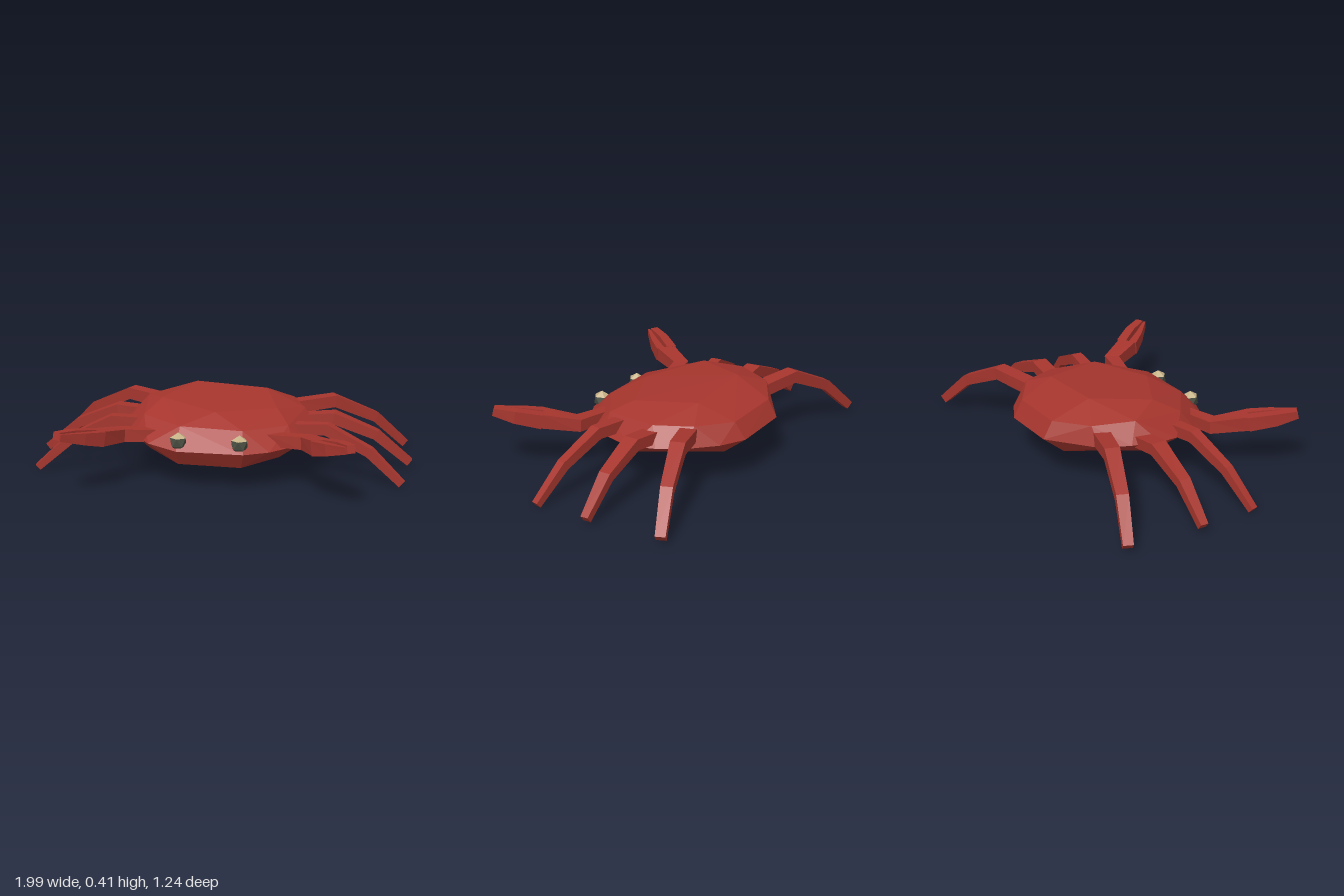
import * as THREE from 'three';
import { ConvexGeometry } from 'three/addons/geometries/ConvexGeometry.js';

const shellRed = new THREE.MeshStandardMaterial({ color: 0xa5352d });
shellRed.name = 'shellRed';
const eyeTan = new THREE.MeshStandardMaterial({ color: 0xc6b287 });
eyeTan.name = 'eyeTan';
const eyeDark = new THREE.MeshStandardMaterial({ color: 0x4a4e41 });
eyeDark.name = 'eyeDark';

// Four-sided limb lofted along a path; each point is [x, y, z, width, height]
function limb(name, points, side) {
  const path = points.map(([x, y, z]) => new THREE.Vector3(x * side, y, z));
  const up = new THREE.Vector3(0, 1, 0);
  const positions = [];
  path.forEach((p, i) => {
    const before = p.clone().sub(path[Math.max(i - 1, 0)]).normalize();
    const after = path[Math.min(i + 1, path.length - 1)].clone().sub(p).normalize();
    const t = before.add(after).normalize();
    const across = t.clone().cross(up).normalize();
    const lift = across.clone().cross(t);
    const [, , , w, h] = points[i];
    for (const [a, b] of [[1, 1], [1, -1], [-1, -1], [-1, 1]]) {
      const v = p.clone().addScaledVector(across, a * w / 2).addScaledVector(lift, b * h / 2);
      positions.push(v.x, v.y, v.z);
    }
  });
  const index = [];
  const quad = (a, b, c, d) => index.push(a, b, c, a, c, d);
  for (let i = 0; i < path.length - 1; i++) {
    for (let k = 0; k < 4; k++) {
      const a = i * 4 + k, b = i * 4 + (k + 1) % 4;
      quad(a, b, b + 4, a + 4);
    }
  }
  const e = (path.length - 1) * 4;
  quad(3, 2, 1, 0);
  quad(e, e + 1, e + 2, e + 3);
  const indexed = new THREE.BufferGeometry();
  indexed.setAttribute('position', new THREE.Float32BufferAttribute(positions, 3));
  indexed.setIndex(index);
  const geometry = indexed.toNonIndexed();
  geometry.computeVertexNormals();
  const mesh = new THREE.Mesh(geometry, shellRed);
  mesh.name = name;
  return mesh;
}

// Faceted shell: hull of a crown, upper ring, rim and belly
function shell() {
  const crown = [
    [-0.18, 0.41, -0.31], [0.2, 0.385, -0.32], [0.3, 0.358, 0], [0, 0.358, 0.14], [-0.31, 0.385, -0.02],
  ];
  const upper = [
    [-0.16, 0.305, 0.25], [0.16, 0.295, 0.25], [-0.16, 0.328, -0.51], [0.16, 0.315, -0.51],
    [-0.42, 0.355, -0.19], [0.42, 0.315, -0.2], [-0.38, 0.32, 0.1], [0.37, 0.295, 0.1],
    [-0.34, 0.345, -0.39], [0.34, 0.325, -0.39],
  ];
  const rim = [
    [-0.16, 0.24, -0.56], [0.15, 0.23, -0.565], [0.28, 0.23, -0.5], [0.41, 0.23, -0.38],
    [0.47, 0.22, -0.25], [0.51, 0.215, -0.12], [0.46, 0.21, 0.07], [0.41, 0.205, 0.17],
    [0.3, 0.2, 0.28], [0.18, 0.2, 0.35], [-0.16, 0.2, 0.35], [-0.32, 0.215, 0.28],
    [-0.42, 0.225, 0.16], [-0.5, 0.25, 0], [-0.51, 0.255, -0.1], [-0.47, 0.255, -0.24], [-0.4, 0.25, -0.38],
  ];
  const belly = [
    [-0.16, 0.122, 0.3], [0.16, 0.118, 0.3], [0.16, 0.105, 0.13], [-0.16, 0.118, 0.1],
    [0.41, 0.145, -0.1], [-0.42, 0.17, -0.1], [0.15, 0.12, -0.37], [-0.16, 0.128, -0.36],
    [0.18, 0.15, -0.46], [-0.18, 0.158, -0.46], [0.33, 0.14, 0.15], [-0.34, 0.155, 0.15],
  ];
  const points = [...crown, ...upper, ...rim, ...belly].map((p) => new THREE.Vector3(...p));
  const mesh = new THREE.Mesh(new ConvexGeometry(points), shellRed);
  mesh.name = 'shell';
  return mesh;
}

// Eye: upright icosahedron with a pale cap over a dark lower part
function eye(side) {
  const geometry = new THREE.IcosahedronGeometry(0.047, 0);
  geometry.rotateX(-Math.atan((1 + Math.sqrt(5)) / 2));
  const pos = geometry.attributes.position;
  for (let i = 0; i < pos.count; i += 3) {
    const middle = (pos.getY(i) + pos.getY(i + 1) + pos.getY(i + 2)) / 3;
    geometry.addGroup(i, 3, middle > 0.025 ? 0 : 1);
  }
  const mesh = new THREE.Mesh(geometry, [eyeTan, eyeDark]);
  mesh.name = side > 0 ? 'leftEye' : 'rightEye';
  mesh.position.set(side * 0.155, 0.243, 0.312);
  return mesh;
}

const limbs = {
  BackLeg: [
    [0.34, 0.28, -0.35, 0.085, 0.065], [0.56, 0.305, -0.425, 0.075, 0.065],
    [0.78, 0.2, -0.51, 0.06, 0.055], [0.94, 0.04, -0.58, 0.05, 0.045],
  ],
  MiddleLeg: [
    [0.4, 0.255, -0.185, 0.08, 0.06], [0.58, 0.275, -0.175, 0.08, 0.06],
    [0.8, 0.19, -0.18, 0.06, 0.05], [0.98, 0.043, -0.19, 0.04, 0.04],
  ],
  FrontLeg: [
    [0.4, 0.26, 0.028, 0.065, 0.06], [0.56, 0.27, 0.05, 0.055, 0.06],
    [0.78, 0.17, 0.09, 0.045, 0.05], [0.95, 0.018, 0.125, 0.035, 0.035],
  ],
  ClawArm: [
    [0.28, 0.24, 0.18, 0.06, 0.06], [0.472, 0.245, 0.225, 0.08, 0.065], [0.56, 0.267, 0.385, 0.1, 0.075],
  ],
  OuterPincer: [
    [0.587, 0.267, 0.365, 0.052, 0.075], [0.665, 0.294, 0.475, 0.05, 0.065], [0.715, 0.318, 0.57, 0.042, 0.04],
  ],
  InnerPincer: [
    [0.53, 0.266, 0.4, 0.045, 0.075], [0.6, 0.288, 0.49, 0.034, 0.06], [0.692, 0.315, 0.588, 0.012, 0.035],
  ],
};

export function createModel() {
  const model = new THREE.Group();
  model.name = 'crab';
  model.add(shell());

  // Mirrored limbs, turned very slightly against the shell
  const limbGroup = new THREE.Group();
  limbGroup.name = 'limbs';
  limbGroup.rotation.y = 0.022;
  for (const side of [1, -1]) {
    for (const [part, points] of Object.entries(limbs)) {
      limbGroup.add(limb((side > 0 ? 'left' : 'right') + part, points, side));
    }
    model.add(eye(side));
  }
  model.add(limbGroup);
  return model;
}
